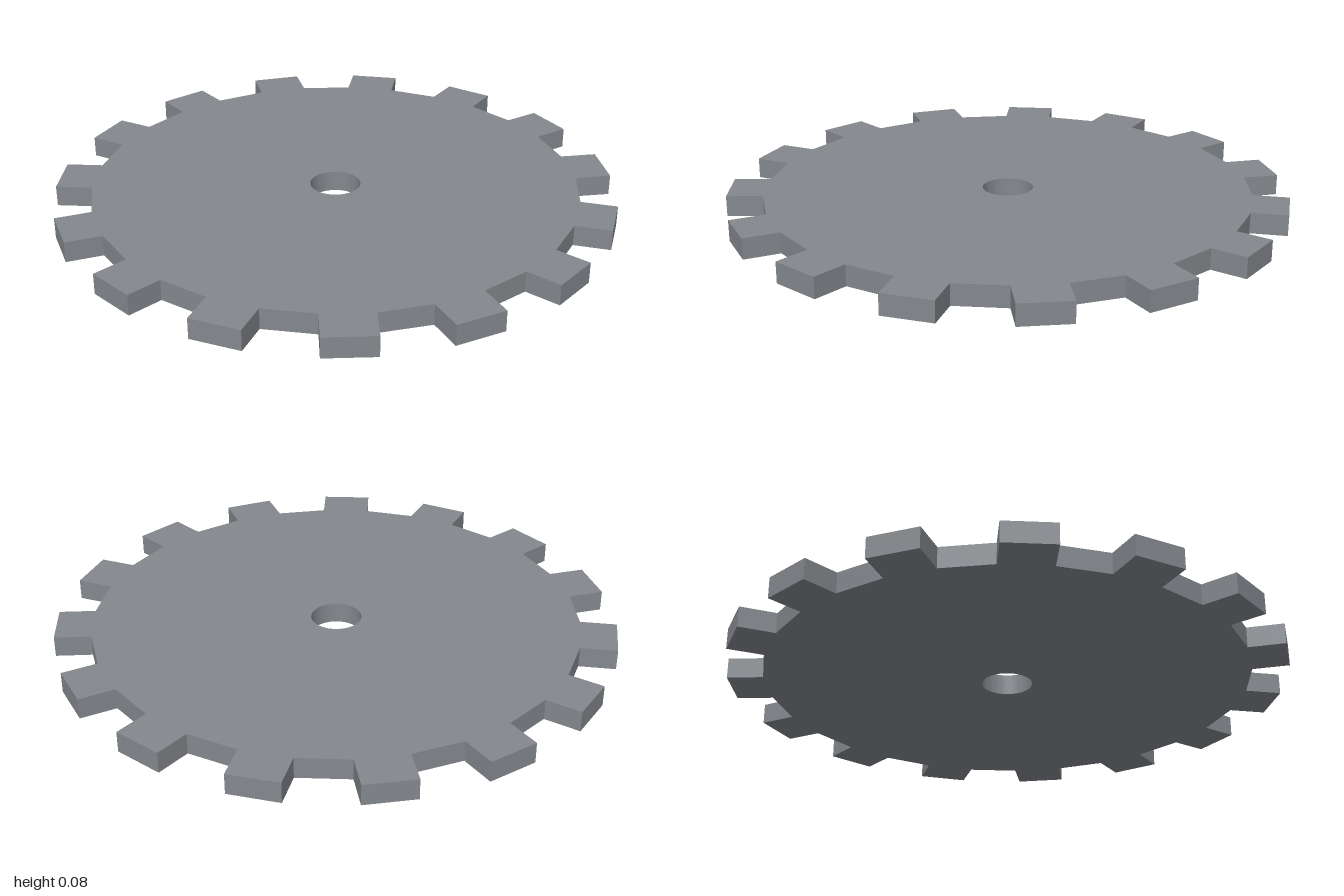
import * as THREE from 'three';
import { toCreasedNormals } from 'three/addons/utils/BufferGeometryUtils.js';

const TEETH = 15;
const TIP = 0.996;        // centre to the flat tip of a tooth
const ROOT = 0.866;       // centre to the foot of a tooth
const HALF_WIDTH = 0.09;
const THICKNESS = 0.075;
const BORE = 0.09;

export function createModel() {
  const group = new THREE.Group();
  group.name = 'gear';
  const steel = new THREE.MeshStandardMaterial({ color: 0x84888d });
  steel.name = 'steel grey';

  // Outline: straight-sided teeth joined by straight chords, one tooth facing +z
  const outline = [];
  for (let i = 0; i < TEETH; i++) {
    const angle = (i / TEETH) * Math.PI * 2;
    for (const [x, y] of [[HALF_WIDTH, ROOT], [HALF_WIDTH, TIP], [-HALF_WIDTH, TIP], [-HALF_WIDTH, ROOT]]) {
      outline.push(new THREE.Vector2(x, y).rotateAround(new THREE.Vector2(), angle));
    }
  }
  const shape = new THREE.Shape(outline);

  // Round axle hole
  const bore = new THREE.Path();
  bore.absarc(0, 0, BORE, 0, Math.PI * 2, true);
  shape.holes.push(bore);

  // Lay the disc flat, standing on y = 0
  let geometry = new THREE.ExtrudeGeometry(shape, { depth: THICKNESS, bevelEnabled: false, curveSegments: 32 });
  geometry.rotateX(Math.PI / 2);
  geometry.center();
  geometry.translate(0, THICKNESS / 2, 0);
  geometry = toCreasedNormals(geometry, Math.PI / 6);

  const disc = new THREE.Mesh(geometry, steel);
  disc.name = 'toothedDisc';
  group.add(disc);
  return group;
}
